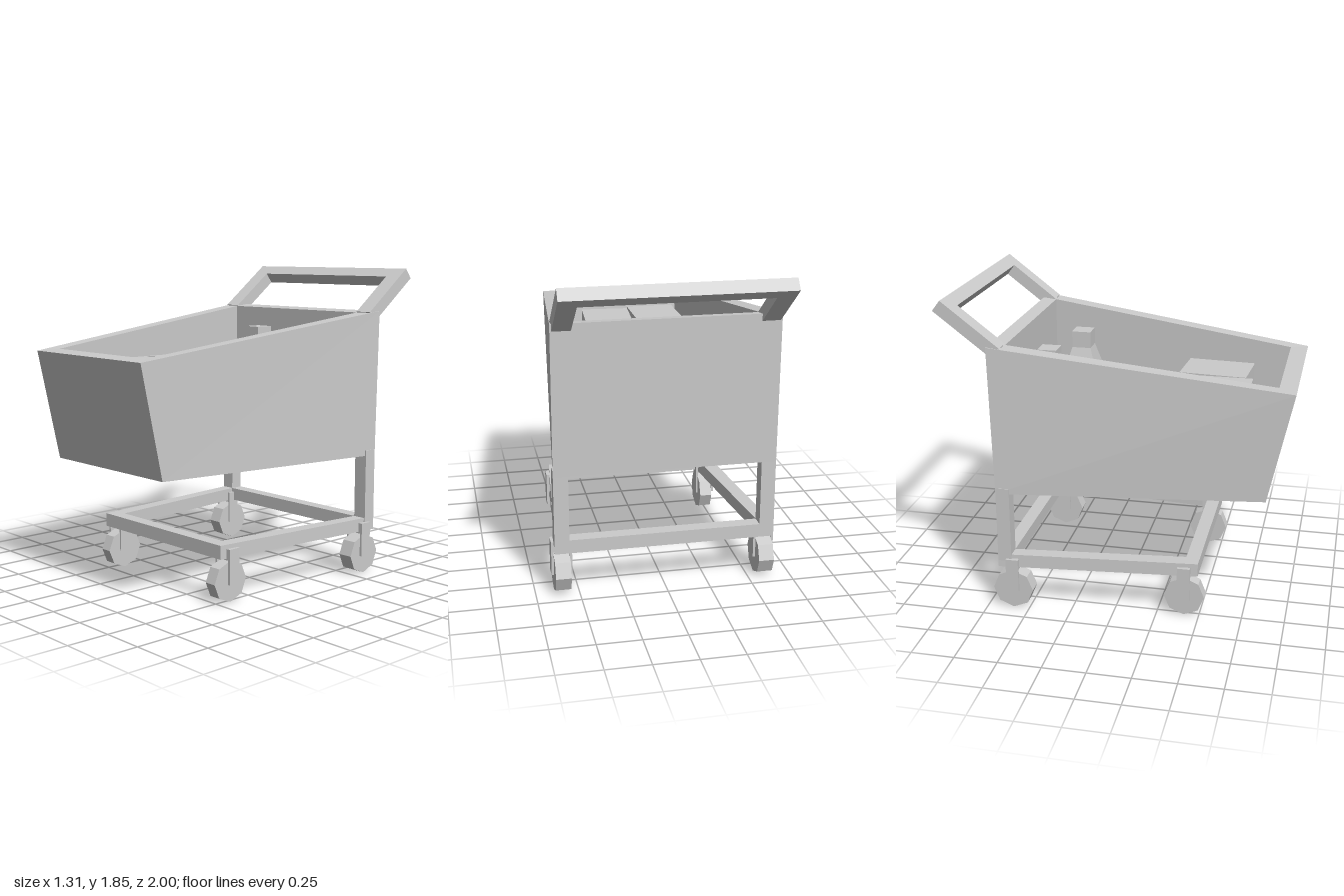
import * as THREE from 'three';

const material = new THREE.MeshStandardMaterial({ color: 0xcccccc, flatShading: true });

function add(parent, name, geometry, x = 0, y = 0, z = 0) {
  const mesh = new THREE.Mesh(geometry, material);
  mesh.name = name;
  mesh.position.set(x, y, z);
  parent.add(mesh);
  return mesh;
}

// Four-cornered ring, symmetric in x: front and back half widths, z and height
const ring = (xf, zf, yf, xb, zb, yb) => [[xf, yf, zf], [xb, yb, zb], [-xb, yb, zb], [-xf, yf, zf]];
const square = (r, y) => ring(r, r, y, r, -r, y);

// Skin a row of rings; either closed on itself or capped at both ends
function loft(rings, closed = false) {
  const pos = [];
  const quad = (a, b, c, d) => pos.push(...a, ...b, ...c, ...a, ...c, ...d);
  const last = rings.length - 1;
  for (let k = 0; k < (closed ? rings.length : last); k++) {
    const a = rings[k], b = rings[(k + 1) % rings.length];
    for (let i = 0; i < 4; i++) {
      const j = (i + 1) % 4;
      quad(a[i], a[j], b[j], b[i]);
    }
  }
  if (!closed) {
    quad(...[...rings[0]].reverse());
    quad(...rings[last]);
  }
  const geometry = new THREE.BufferGeometry();
  geometry.setAttribute('position', new THREE.Float32BufferAttribute(pos, 3));
  geometry.computeVertexNormals();
  return geometry;
}

function makeHandle() {
  // Inverted U, leaning backwards
  const shape = new THREE.Shape([
    [-0.63, -0.04], [-0.525, -0.04], [-0.525, 0.298], [0.525, 0.298],
    [0.525, -0.04], [0.63, -0.04], [0.63, 0.378], [-0.63, 0.378],
  ].map(([x, y]) => new THREE.Vector2(x, y)));
  return new THREE.ExtrudeGeometry(shape, { depth: 0.075, bevelEnabled: false });
}

function makeCaster(name, wheelX, wheelWidth, forkX, z) {
  const caster = new THREE.Group();
  caster.name = name;
  const wheel = new THREE.CylinderGeometry(0.12, 0.12, wheelWidth, 8);
  wheel.rotateZ(Math.PI / 2);
  add(caster, 'wheel', wheel, wheelX, 0.12, z);
  // Fork: a plate on each side of the wheel and a bridge above it
  for (const s of [-1, 1]) {
    add(caster, 'forkPlate', new THREE.BoxGeometry(0.014, 0.205, 0.075), forkX + s * 0.053, 0.2125, z);
  }
  add(caster, 'forkBridge', new THREE.BoxGeometry(0.12, 0.065, 0.075), forkX, 0.2825, z);
  return caster;
}

export function createModel() {
  const cart = new THREE.Group();
  cart.name = 'shoppingCart';

  // Tapered basket: outside, rim, inside, floor
  add(cart, 'basket', loft([
    ring(0.48, 0.86, 0.745, 0.64, -0.68, 0.725),
    ring(0.48, 1.0, 1.39, 0.64, -0.7, 1.6),
    ring(0.4, 0.9, 1.4, 0.53, -0.62, 1.59),
    ring(0.4, 0.855, 0.79, 0.53, -0.62, 0.775),
  ]));

  const handle = add(cart, 'handle', makeHandle(), 0, 1.56, -0.7);
  handle.rotation.x = -0.917;

  // Undercarriage: tapered ring frame
  add(cart, 'baseFrame', loft([
    ring(0.53, 0.49, 0.26, 0.64, -0.68, 0.26),
    ring(0.53, 0.49, 0.34, 0.64, -0.68, 0.34),
    ring(0.45, 0.41, 0.34, 0.555, -0.6, 0.34),
    ring(0.45, 0.41, 0.26, 0.555, -0.6, 0.26),
  ], true));

  // Rear posts and casters on both sides
  for (const s of [-1, 1]) {
    add(cart, 'rearPost', new THREE.BoxGeometry(0.085, 0.46, 0.08), s * 0.5975, 0.53, -0.64);
    cart.add(makeCaster('frontCaster', s * 0.4875, 0.075, s * 0.5, 0.41));
    cart.add(makeCaster('rearCaster', s * 0.595, 0.09, s * 0.595, -0.595));
  }

  // Boxes in the basket: x, z, depth, bottom, top, turn
  const boxes = [
    [-0.1875, -0.03, 0.53, 0.75, 1.03, 0],
    [-0.1875, 0.0375, 0.525, 1.03, 1.325, 0],
    [-0.1875, 0.52, 0.4, 0.75, 1.325, 0],
    [0.1275, 0.525, 0.41, 0.75, 1.03, 0],
    [0.13, 0.4875, 0.4, 1.03, 1.325, -0.07],
    [0.175, 0.055, 0.5, 0.75, 1.0, 0.09],
  ];
  for (const [x, z, depth, bottom, top, turn] of boxes) {
    const box = add(cart, 'groceryBox', new THREE.BoxGeometry(0.295, top - bottom, depth), x, (top + bottom) / 2, z);
    box.rotation.y = turn;
  }

  // Square bottles with sloping shoulders
  const bottle = loft([square(0.14, 0.75), square(0.14, 1.1), square(0.0575, 1.38), square(0.0575, 1.48)]);
  add(cart, 'bottle', bottle, -0.17, 0, -0.47);
  add(cart, 'bottle', bottle, 0.25, 0, -0.37);

  return cart;
}
